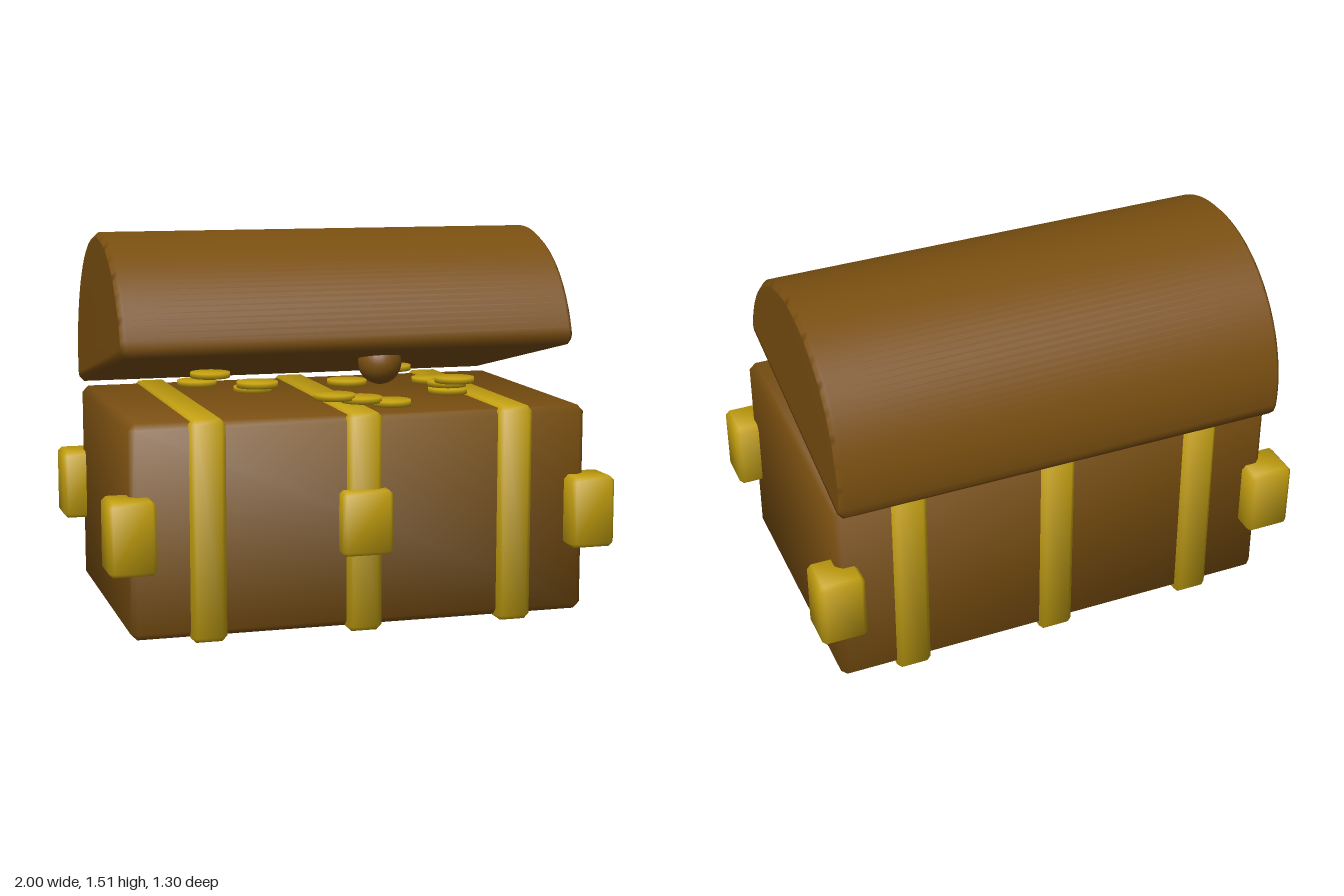
import * as THREE from 'three';
import { mergeVertices } from 'three/addons/utils/BufferGeometryUtils.js';
import { ConvexGeometry } from 'three/addons/geometries/ConvexGeometry.js';

const wood = new THREE.MeshStandardMaterial({ color: 0x7a4f10 });
wood.name = 'wood brown';
const gold = new THREE.MeshStandardMaterial({ color: 0xc4a010 });
gold.name = 'gold';

// share vertices so the shading runs softly over the edges
function smooth(geo) {
  geo.deleteAttribute('normal');
  geo.deleteAttribute('uv');
  const merged = mergeVertices(geo, 1e-4);
  merged.computeVertexNormals();
  return merged;
}

// box with chamfered edges; normals lean outwards at the corners
function softBox(w, h, d, c) {
  const half = [w / 2, h / 2, d / 2];
  const pts = [];
  for (let axis = 0; axis < 3; axis++)
    for (const sx of [-1, 1]) for (const sy of [-1, 1]) for (const sz of [-1, 1]) {
      const p = [sx, sy, sz].map((s, i) => s * (half[i] - (i === axis ? 0 : c)));
      pts.push(new THREE.Vector3(...p));
    }
  const geo = new ConvexGeometry(pts);
  const pos = geo.attributes.position, nor = geo.attributes.normal;
  for (let i = 0; i < pos.count; i++) {
    const p = [pos.getX(i), pos.getY(i), pos.getZ(i)];
    const n = p.map((v, k) => Math.sign(v) * (Math.abs(Math.abs(v) - half[k]) < 1e-4 ? 1 : 0.39));
    const len = Math.hypot(...n);
    nor.setXYZ(i, n[0] / len, n[1] / len, n[2] / len);
  }
  return geo;
}

export function createModel() {
  const model = new THREE.Group();
  model.name = 'treasureChest';
  const add = (name, geo, mat, x, y, z) => {
    const mesh = new THREE.Mesh(geo, mat);
    mesh.name = name;
    mesh.position.set(x, y, z);
    model.add(mesh);
    return mesh;
  };

  // body
  add('body', softBox(1.81, 0.82, 1.11, 0.025), wood, 0, 0.43, 0);

  // metal bands around the body
  const band = softBox(0.14, 0.85, 1.15, 0.02);
  for (const x of [-0.61, 0, 0.61]) add('band', band, gold, x, 0.425, 0);

  // lock plate
  add('lock', softBox(0.2, 0.25, 0.12, 0.015), gold, 0, 0.43, 0.555);

  // corner brackets
  const bracket = softBox(0.18, 0.28, 0.18, 0.017);
  for (const x of [-0.91, 0.91])
    for (const z of [-0.557, 0.557]) add('cornerBracket', bracket, gold, x, 0.428, z);

  // half-round lid, tilted open at the front
  const b = 0.02;
  const profile = new THREE.Shape();
  profile.absarc(0, 0, 0.53, 0.075, Math.PI - 0.075, false);
  profile.lineTo(-0.515, b);
  profile.lineTo(0.515, b);
  profile.closePath();
  const lidGeo = new THREE.ExtrudeGeometry(profile, {
    depth: 1.77, bevelEnabled: true, bevelSize: b, bevelThickness: b,
    bevelSegments: 1, curveSegments: 32,
  });
  lidGeo.translate(0, 0, -0.885);
  lidGeo.rotateY(Math.PI / 2);
  const lid = add('lid', smooth(lidGeo), wood, 0, 0.957, -0.1);
  lid.rotation.x = -0.208;

  // round wooden piece under the lid
  add('cup', new THREE.SphereGeometry(0.088, 24, 16), wood, 0.2, 0.98, 0.11);

  // loose coins
  const coin = smooth(new THREE.CylinderGeometry(0.08, 0.08, 0.022, 24));
  const coins = [
    [-0.06, 0.885, 0.35], [0.05, 0.87, 0.35], [0.17, 0.853, 0.35],
    [-0.35, 0.935, 0.28], [-0.45, 0.925, -0.11], [-0.5, 0.892, -0.13],
    [0.08, 0.897, 0.05], [0.31, 0.932, -0.08], [-0.25, 0.848, -0.2],
    [0.48, 0.86, 0.14], [0.49, 0.883, 0.1], [0.49, 0.91, 0.19], [0.5, 0.867, -0.13],
  ];
  for (const [x, y, z] of coins) add('coin', coin, gold, x, y, z);

  return model;
}
